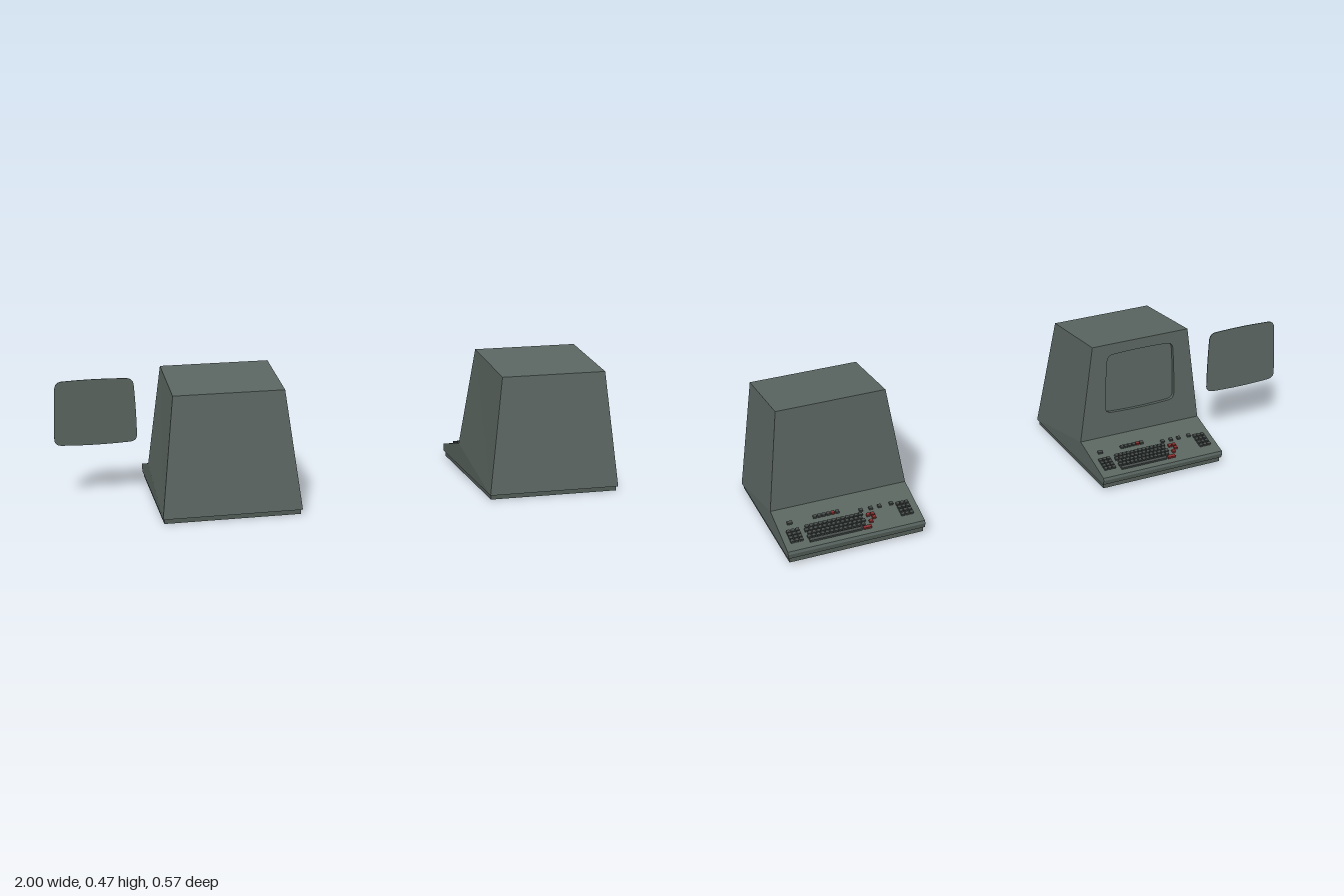
import * as THREE from 'three';
import { mergeGeometries } from 'three/addons/utils/BufferGeometryUtils.js';

const mat = (name, color) => Object.assign(new THREE.MeshStandardMaterial({ color }), { name });

export function createModel() {
  const casing = mat('casing grey green', 0x5a6560);
  const plinthGrey = mat('plinth grey', 0x535d58);
  const keyGrey = mat('key dark grey', 0x444b48);
  const keyRed = mat('key red', 0x8a2f30);
  const model = new THREE.Group();
  model.name = 'terminals';

  function add(parent, name, geometry, material) {
    const mesh = new THREE.Mesh(geometry, material);
    mesh.name = name;
    parent.add(mesh);
    return mesh;
  }

  // Rounded, slightly bulging screen outline, scaled about its middle
  function screenOutline(path, k = 1) {
    const p = (x, y) => [x * k, 0.207 + (y - 0.207) * k];
    const curve = (a, b, c, d) => path.quadraticCurveTo(...p(a, b), ...p(c, d));
    path.moveTo(...p(-0.122, 0.09));
    curve(0, 0.083, 0.122, 0.09);
    curve(0.146, 0.092, 0.147, 0.113);
    curve(0.147, 0.2, 0.14, 0.3);
    curve(0.138, 0.325, 0.115, 0.327);
    curve(0, 0.333, -0.115, 0.327);
    curve(-0.138, 0.325, -0.14, 0.3);
    curve(-0.147, 0.2, -0.147, 0.113);
    curve(-0.146, 0.092, -0.122, 0.09);
    return path;
  }
  const polygon = (pts) => new THREE.Shape(pts.map(([x, y]) => new THREE.Vector2(x, y)));

  // Casing: side profile as [z, y, half width], screen towards +z
  function casingGeometry() {
    const profile = [
      [-0.285, 0.018, 0.245], [-0.237, 0.44, 0.195], [0.075, 0.475, 0.195], [0.095, 0.11, 0.245],
      [0.284, 0.056, 0.245], [0.287, 0.046, 0.245], [0.282, 0.028, 0.245],
    ];
    const n = profile.length, pos = [];
    const v = (i, s) => [s * profile[i][2], profile[i][1], profile[i][0]];
    const tri = (...corners) => corners.forEach((c) => pos.push(...c));
    for (let i = 0; i < n; i++) {
      const j = (i + 1) % n;
      if (i !== 2) { // the screen face is a separate part
        tri(v(i, 1), v(i, -1), v(j, -1));
        tri(v(i, 1), v(j, -1), v(j, 1));
      }
      if (i > 0 && j > 0) {
        tri(v(0, 1), v(i, 1), v(j, 1));
        tri(v(0, -1), v(j, -1), v(i, -1));
      }
    }
    const g = new THREE.BufferGeometry();
    g.setAttribute('position', new THREE.Float32BufferAttribute(pos, 3));
    g.computeVertexNormals();
    return g;
  }

  // Group lying in the plane of the leaning screen face
  function facePlane(parent) {
    const g = new THREE.Group();
    g.name = 'screenFacePlane';
    g.position.set(0, 0.11, 0.095);
    g.rotation.x = -Math.atan(0.02 / 0.365);
    parent.add(g);
    return g;
  }

  function addScreenFace(parent, open) {
    const plane = facePlane(parent);
    const face = polygon([[-0.245, 0], [0.245, 0], [0.195, 0.3656], [-0.195, 0.3656]]);
    if (open) {
      face.holes.push(screenOutline(new THREE.Path(), 0.97));
      // Walls and floor of the screen recess
      const rim = polygon([[-0.17, 0.07], [0.17, 0.07], [0.17, 0.35], [-0.17, 0.35]]);
      rim.holes.push(screenOutline(new THREE.Path(), 0.97));
      const walls = new THREE.ExtrudeGeometry(rim, { depth: 0.014, bevelEnabled: false });
      add(plane, 'screenRecessWalls', walls, casing).position.z = -0.0145;
      const floor = new THREE.ShapeGeometry(screenOutline(new THREE.Shape(), 1.02));
      add(plane, 'screenRecessFloor', floor, casing).position.z = -0.013;
    }
    add(plane, 'screenFace', new THREE.ShapeGeometry(face), casing);
  }

  // Keyboard: positions given as x and horizontal z, laid on the sloping deck
  function addKeyboard(parent) {
    const deck = new THREE.Group();
    deck.name = 'keyboard';
    deck.position.set(0, 0.11, 0.095);
    deck.rotation.x = Math.atan(0.054 / 0.189);
    parent.add(deck);
    const grey = [], red = [];
    const key = (list, x, z, w = 0.0125, d = 0.0115) =>
      list.push(new THREE.BoxGeometry(w, 0.009, d).translate(x, 0.0035, (z - 0.095) / 0.961));
    // Main letter rows and space bar
    for (let r = 0; r < 4; r++) {
      for (let c = 0; c < 13; c++) key(grey, -0.156 + c * 0.016 + (r % 2) * 0.006, 0.241 - r * 0.0145);
    }
    key(grey, -0.068, 0.258, 0.185, 0.012);
    key(red, 0.045, 0.258, 0.03, 0.012);
    // Red command keys
    for (const [x, z] of [[0.066, 0.236], [0.082, 0.222], [0.082, 0.207], [0.066, 0.207]]) key(red, x, z);
    // Keypads at both ends
    for (let r = 0; r < 4; r++) {
      for (let c = 0; c < 3; c++) {
        key(grey, 0.181 + c * 0.016, 0.238 - r * 0.0165);
        key(grey, -0.217 + c * 0.016, 0.245 - r * 0.0145);
      }
    }
    // Function keys behind the rows
    for (const x of [-0.11, -0.094, -0.078, -0.062, -0.03]) key(grey, x, 0.163);
    for (const x of [0.05, 0.085, 0.117, 0.16]) key(grey, x, 0.18);
    key(grey, -0.2, 0.165, 0.018);
    key(red, -0.046, 0.163);
    add(deck, 'greyKeys', mergeGeometries(grey), keyGrey);
    add(deck, 'redKeys', mergeGeometries(red), keyRed);
  }

  function addTerminal(name, x, open) {
    const terminal = new THREE.Group();
    terminal.name = name;
    terminal.position.x = x;
    terminal.rotation.y = Math.PI;
    add(terminal, 'casing', casingGeometry(), casing);
    addScreenFace(terminal, open);
    addKeyboard(terminal);
    // Plinth, tilted with the underside
    const plinth = add(terminal, 'plinth', new THREE.BoxGeometry(0.48, 0.018, 0.553), plinthGrey);
    plinth.position.y = 0.0142;
    plinth.rotation.x = -0.0176;
    model.add(terminal);
  }
  addTerminal('openTerminal', -0.423, true);
  addTerminal('closedTerminal', 0.755, false);

  // Loose screen panel beside the open terminal
  const loose = new THREE.Group();
  loose.name = 'looseScreen';
  loose.position.x = -0.853;
  loose.rotation.y = Math.PI;
  const panel = new THREE.ExtrudeGeometry(screenOutline(new THREE.Shape()), { depth: 0.003, bevelEnabled: false });
  add(facePlane(loose), 'screenPanel', panel, casing).position.z = -0.003;
  model.add(loose);

  return model;
}
